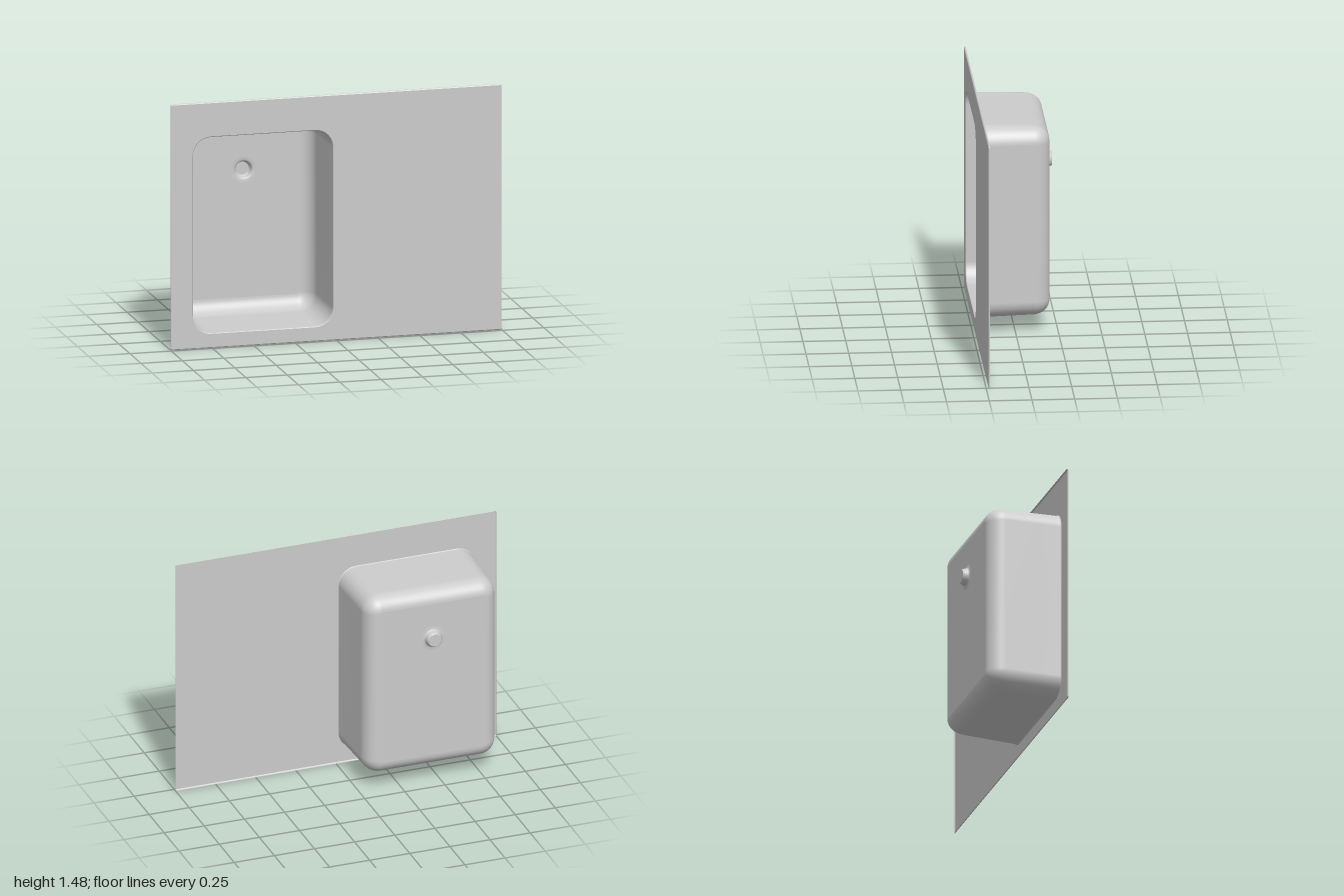
import * as THREE from 'three';

const material = new THREE.MeshStandardMaterial({ color: 0xcccccc, side: THREE.DoubleSide });
const FRONT = 0.237, FLOOR = -0.2;
const bowl = { x: -0.4425, y: 0.6775, hw: 0.4225, hh: 0.5875, r: 0.11 };
const plate = { x: 0, y: 0.7375, hw: 1, hh: 0.7375, r: 0.012 };
const drain = { x: -0.443, y: 0.95, r: 0.078 };

// Rounded rectangle shrunk by inset, counter-clockwise seen from the front
function ring(rect, inset, steps = 10) {
  const r = Math.max(0.02 * Math.min(1, rect.r / 0.1), rect.r - inset);
  const cx = rect.hw - inset - r, cy = rect.hh - inset - r;
  const points = [];
  [[1, 1], [-1, 1], [-1, -1], [1, -1]].forEach(([sx, sy], q) => {
    for (let i = 0; i <= steps; i++) {
      const a = (q + i / steps) * Math.PI / 2;
      points.push(new THREE.Vector2(
        rect.x + sx * cx + r * Math.cos(a), rect.y + sy * cy + r * Math.sin(a)));
    }
  });
  return points;
}

// Skin through rings given as [inset, z]
function loft(rect, levels) {
  const positions = [], index = [];
  let n = 0;
  levels.forEach(([inset, z]) => {
    const points = ring(rect, inset);
    n = points.length;
    points.forEach(p => positions.push(p.x, p.y, z));
  });
  for (let i = 0; i < levels.length - 1; i++) {
    for (let j = 0; j < n; j++) {
      const k = (j + 1) % n;
      const a = i * n + j, b = i * n + k, c = a + n, d = b + n;
      index.push(a, b, d, a, d, c);
    }
  }
  const geometry = new THREE.BufferGeometry();
  geometry.setAttribute('position', new THREE.Float32BufferAttribute(positions, 3));
  geometry.setIndex(index);
  geometry.computeVertexNormals();
  return geometry;
}

// Flat sheet with one hole
function sheet(outline, hole, z) {
  const shape = new THREE.Shape(outline);
  shape.holes.push(new THREE.Path(hole));
  return new THREE.ShapeGeometry(shape).translate(0, 0, z);
}

export function createModel() {
  const group = new THREE.Group();
  const add = (name, geometry) => {
    const mesh = new THREE.Mesh(geometry, material);
    mesh.name = name;
    group.add(mesh);
    return mesh;
  };

  // Worktop sheet with the bowl opening, and its turned-down edge
  add('worktop', sheet(ring(plate, 0.006), ring(bowl, -0.005), FRONT));
  add('worktopEdge', loft(plate, [[0, 0.227], [0, 0.232], [0.002, 0.235], [0.006, FRONT]]));

  // Bowl walls: rolled lip, slight draft, rounded base edge
  const levels = [[-0.005, FRONT], [-0.002, 0.235], [0, 0.23], [0.004, 0.1], [0.01, -0.1]];
  for (let i = 1; i <= 10; i++) {
    const a = i / 10 * Math.PI / 2;
    levels.push([0.01 + 0.085 * (1 - Math.cos(a)), -0.1 + (FLOOR + 0.1) * Math.sin(a)]);
  }
  add('bowlWalls', loft(bowl, levels));

  // Bowl floor with the drain hole
  const hole = [];
  for (let i = 0; i < 32; i++) {
    const a = i / 32 * Math.PI * 2;
    hole.push(new THREE.Vector2(drain.x + drain.r * Math.sin(a), drain.y + drain.r * Math.cos(a)));
  }
  add('bowlFloor', sheet(ring(bowl, 0.095), hole, FLOOR));

  // Drain: dished collar tapering to a closed outlet
  const profile = [[drain.r, FLOOR], [0.062, -0.201], [0.054, -0.203], [0.05, -0.208],
    [0.048, -0.222], [0.042, -0.234], [0.039, -0.237]].map(([r, z]) => new THREE.Vector2(r, z));
  add('drainCollar', new THREE.LatheGeometry(profile, 32).rotateX(Math.PI / 2))
    .position.set(drain.x, drain.y, 0);
  add('drainCap', new THREE.CircleGeometry(0.039, 32)).position.set(drain.x, drain.y, -0.237);

  return group;
}
